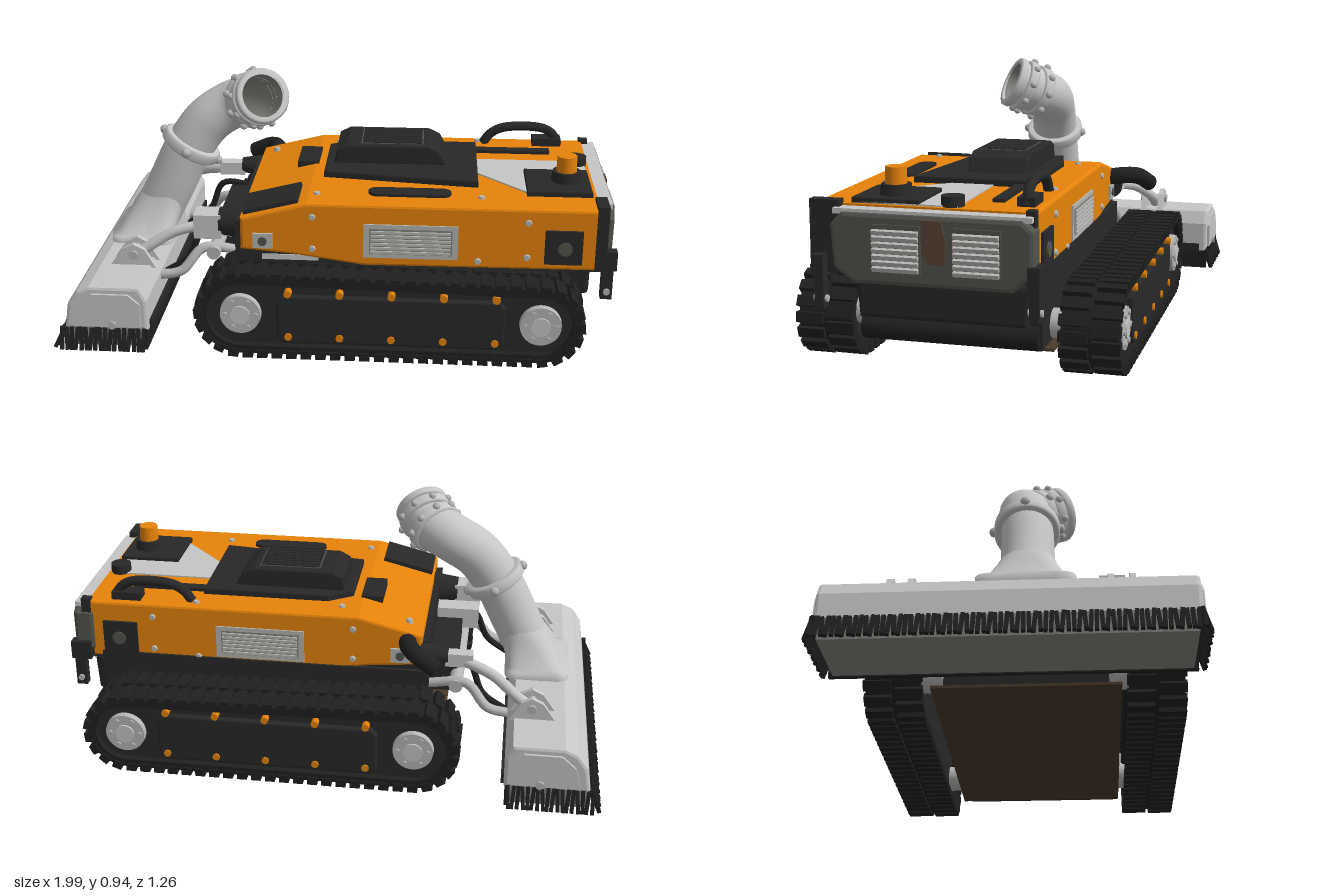
import * as THREE from 'three';

const mat = (name, color, side = THREE.FrontSide) => Object.assign(new THREE.MeshStandardMaterial({ color, side }), { name });
const V = (x, y, z) => new THREE.Vector3(x, y, z);

export function createModel() {
  const root = new THREE.Group();
  const orange = mat('orange paint', 0xe8840a);
  const black = mat('black plastic', 0x282828);
  const rubber = mat('rubber', 0x202020);
  const grey = mat('light grey paint', 0xc6c6c6, THREE.DoubleSide);
  const silver = mat('silver metal', 0xb6b6b4);
  const smoke = mat('smoked panel', 0x53534d);
  const brown = mat('brown trim', 0x5a4534);
  const belly = mat('underside brown', 0x4a3b2c);
  const midGrey = mat('mid grey', 0x83837e, THREE.DoubleSide);

  // ---- helpers ----
  const add = (name, geo, m, x = 0, y = 0, z = 0, rx = 0, ry = 0, rz = 0) => {
    const o = new THREE.Mesh(geo, m);
    o.name = name;
    o.position.set(x, y, z);
    o.rotation.set(rx, ry, rz);
    root.add(o);
    return o;
  };
  const box = (name, m, x0, x1, y0, y1, z0, z1, tilt = 0) =>
    add(name, new THREE.BoxGeometry(x1 - x0, y1 - y0, z1 - z0), m, (x0 + x1) / 2, (y0 + y1) / 2, (z0 + z1) / 2, 0, 0, tilt);
  const poly = pts => new THREE.Shape(pts.map(p => new THREE.Vector2(p[0], p[1])));
  const prism = (outline, depth, bevel = 0) => new THREE.ExtrudeGeometry(outline instanceof THREE.Shape ? outline : poly(outline), {
    depth: depth - 2 * bevel, bevelEnabled: bevel > 0, bevelSize: bevel, bevelOffset: -bevel, bevelThickness: bevel, bevelSegments: 2 }).translate(0, 0, bevel);
  // side: (x,y) outline over z; plate: (x,z) outline below yTop; rear: (z,y) outline inward from xMax
  const side = (name, m, pts, z0, z1, bevel) => add(name, prism(pts, z1 - z0, bevel), m, 0, 0, z0);
  const plate = (name, m, pts, yTop, h, bevel) => add(name, prism(pts, h, bevel), m, 0, yTop, 0, Math.PI / 2);
  const rear = (name, m, pts, xMax, d, bevel) => add(name, prism(pts, d, bevel), m, xMax, 0, 0, 0, -Math.PI / 2);
  const rod = (name, m, a, b, r, r2 = r, seg = 20) => {
    const o = add(name, new THREE.CylinderGeometry(r2, r, a.distanceTo(b), seg), m);
    o.position.copy(a).lerp(b, 0.5);
    o.quaternion.setFromUnitVectors(V(0, 1, 0), b.clone().sub(a).normalize());
  };
  const tube = (name, m, pts, r, n = 24, seg = 12) =>
    add(name, new THREE.TubeGeometry(new THREE.CatmullRomCurve3(pts.map(p => V(...p))), n, r, seg), m);

  // ---- tracks ----
  const wheels = [[-0.33, 0.165, 0.15, 0.5], [0.725, 0.155, 0.14, -0.5]];
  const loop = inset => poly(wheels.flatMap(([x, y, r, start]) => Array.from({ length: 17 }, (_, i) => {
    const a = Math.PI * (start + i / 16);
    return [x + (r - inset) * Math.cos(a), y + (r - inset) * Math.sin(a)];
  }))).closePath();
  const lug = new THREE.BoxGeometry(0.036, 0.03, 0.095);
  for (const [zc, out] of [[0.477, 1], [-0.422, -1]]) {
    const belt = loop(0), n = 116, path = belt.getSpacedPoints(n);
    belt.holes.push(loop(0.03));
    side('trackBelt', rubber, belt, zc - 0.095, zc + 0.095);
    for (let i = 0; i < n; i++) {
      const p = path[i], q = path[(i + 1) % n];
      add('trackLug', lug, rubber, p.x, p.y, zc + (i % 2 ? 0.054 : -0.054), 0, 0, Math.atan2(q.y - p.y, q.x - p.x));
    }
    side('trackFrame', black, loop(0.025), zc - 0.07, zc + 0.07);
    side('trackCover', black, [[-0.2, 0.08], [-0.18, 0.06], [0.58, 0.06], [0.6, 0.08], [0.6, 0.22], [0.58, 0.24], [-0.18, 0.24], [-0.2, 0.22]],
      zc + out * 0.075 - 0.018, zc + out * 0.075 + 0.018, 0.006);
    for (const [x, y] of wheels) {
      rod('hub', silver, V(x, y, zc), V(x, y, zc + out * 0.093), 0.08, 0.072, 32);
      rod('hubCap', grey, V(x, y, zc), V(x, y, zc + out * 0.1), 0.035);
      rod('axle', silver, V(x, y, zc - out * 0.16), V(x, y, zc), 0.05);
      for (let a = 0; a < 6; a += Math.PI / 3) {
        const bx = x + 0.055 * Math.cos(a), by = y + 0.055 * Math.sin(a);
        rod('hubBolt', silver, V(bx, by, zc), V(bx, by, zc + out * 0.1), 0.01, 0.01, 6);
      }
    }
    for (let x = -0.16; x < 0.6; x += 0.182) for (const y of [0.085, 0.252])
      rod('trackBolt', orange, V(x, y, zc), V(x, y, zc + out * 0.099), 0.014, 0.014, 8);
  }

  // ---- chassis and body ----
  box('chassis', black, -0.36, 0.87, 0.1, 0.36, -0.27, 0.345);
  box('bellyPlate', belly, -0.42, 0.84, 0.092, 0.102, -0.3, 0.36);
  side('fender', black, [[-0.34, 0.33], [0.91, 0.325], [0.91, 0.4], [-0.34, 0.42]], -0.255, 0.47);
  side('bodyShell', orange, [[-0.335, 0.38], [-0.15, 0.365], [0.1, 0.33], [0.915, 0.335], [0.915, 0.56], [-0.1, 0.56], [-0.335, 0.5]], -0.262, 0.485, 0.01);
  box('frontPanel', black, -0.36, -0.33, 0.2, 0.47, -0.24, 0.44);
  box('lowerStrip', grey, -0.26, -0.06, 0.34, 0.36, 0.44, 0.474);
  // grilles, plates and bolts on both flanks
  for (const [z, s] of [[0.485, 1], [-0.262, -1]]) {
    const flat = (name, m, x0, x1, y0, y1, t) => box(name, m, x0, x1, y0, y1, Math.min(z, z + s * t), Math.max(z, z + s * t));
    flat('sideGrille', silver, 0.1, 0.43, 0.365, 0.49, 0.006);
    flat('grilleRecess', midGrey, 0.12, 0.41, 0.38, 0.475, 0.008);
    for (let y = 0.384; y < 0.47; y += 0.015) flat('grilleSlat', silver, 0.125, 0.405, y, y + 0.009, 0.014);
    flat('sidePlate', black, 0.73, 0.86, 0.36, 0.485, 0.01);
    rod('sideSocket', smoke, V(0.8, 0.42, z), V(0.8, 0.42, z + s * 0.016), 0.025);
    flat('frontTag', silver, -0.29, -0.22, 0.39, 0.445, 0.009);
    rod('tagKnob', smoke, V(-0.255, 0.417, z), V(-0.255, 0.417, z + s * 0.014), 0.016);
    for (const [x, y] of [[-0.08, 0.51], [-0.08, 0.39], [0.67, 0.51], [0.67, 0.38], [0.5, 0.36]])
      rod('sideBolt', silver, V(x, y, z), V(x, y, z + s * 0.008), 0.013, 0.01, 8);
  }

  // ---- top deck ----
  plate('deckCover', black, [[-0.06, -0.08], [0.03, -0.14], [0.5, -0.14], [0.5, 0.29], [-0.06, 0.22]], 0.585, 0.03, 0.006);
  side('intakeBox', black, [[-0.03, 0.58], [0.39, 0.58], [0.36, 0.635], [0.32, 0.655], [0.02, 0.655], [-0.02, 0.635]], -0.09, 0.13, 0.008);
  box('intakeGrille', smoke, 0.07, 0.3, 0.65, 0.657, -0.06, 0.11);
  for (let z = -0.056; z < 0.1; z += 0.024) box('intakeSlat', black, 0.075, 0.295, 0.652, 0.661, z, z + 0.018);
  plate('greyPatch', grey, [[0.5, 0], [0.9, 0], [0.9, 0.34], [0.68, 0.34], [0.5, 0.15]], 0.565, 0.008);
  plate('beaconBase', black, [[0.67, 0.13], [0.9, 0.13], [0.9, 0.36], [0.67, 0.36]], 0.58, 0.025, 0.005);
  rod('beaconMount', black, V(0.815, 0.575, 0.237), V(0.815, 0.615, 0.237), 0.055, 0.05);
  rod('beacon', orange, V(0.815, 0.61, 0.237), V(0.815, 0.672, 0.237), 0.037, 0.035, 24);
  rod('fillerKnob', black, V(0.87, 0.56, 0.025), V(0.87, 0.595, 0.025), 0.038);
  box('frontVent', black, -0.17, -0.09, 0.54, 0.568, -0.09, 0.08);
  box('frontHatch', black, -0.33, -0.13, 0.524, 0.542, 0.29, 0.46, 0.25);
  box('deckStrip', black, 0.5, 0.78, 0.555, 0.572, -0.12, -0.08);
  tube('handle', black, [[0.53, 0.56, -0.205], [0.56, 0.6, -0.205], [0.61, 0.625, -0.205],
    [0.76, 0.625, -0.205], [0.8, 0.6, -0.205], [0.82, 0.56, -0.205]], 0.018);
  box('handleFoot', black, 0.72, 0.83, 0.555, 0.59, -0.235, -0.175);
  const slot = new THREE.Shape();
  slot.absarc(0.145, 0.365, 0.034, Math.PI / 2, Math.PI * 1.5);
  slot.absarc(0.37, 0.365, 0.034, -Math.PI / 2, Math.PI / 2);
  plate('gripPlate', black, slot, 0.57, 0.015);
  for (const [x, y, z] of [[-0.28, 0.52, -0.18], [-0.03, 0.56, -0.18], [-0.07, 0.56, 0.39], [0.51, 0.56, 0.39], [0.51, 0.56, -0.22]])
    rod('deckBolt', silver, V(x, y - 0.008, z), V(x, y + 0.008, z), 0.014, 0.011, 8);

  // ---- rear end ----
  rear('rearPanel', smoke, [[-0.27, 0.37], [-0.2, 0.31], [0.33, 0.31], [0.4, 0.36], [0.41, 0.5], [0.37, 0.545], [-0.23, 0.545], [-0.27, 0.51]], 0.975, 0.08, 0.015);
  rear('rearCenterTrim', brown, [[0.02, 0.39], [0.075, 0.39], [0.095, 0.43], [0.095, 0.53], [0.03, 0.53], [0.015, 0.46]], 0.981, 0.008);
  for (const [z0, z1] of [[0.1, 0.26], [-0.165, -0.01]]) {
    rear('rearLouverFrame', smoke, [[z0, 0.35], [z1, 0.35], [z1 + 0.01, 0.38], [z1 + 0.01, 0.48], [z1, 0.51], [z0, 0.51]], 0.981, 0.008);
    for (let y = 0.36; y < 0.49; y += 0.02) box('rearLouver', silver, 0.974, 0.992, y, y + 0.014, z0 + 0.005, z1, -0.3);
  }
  box('rearTopRail', grey, 0.912, 0.965, 0.535, 0.553, -0.26, 0.4);
  box('rearCorner', black, 0.905, 0.945, 0.335, 0.575, 0.385, 0.488);
  box('rearCornerSlim', black, 0.905, 0.94, 0.335, 0.57, -0.265, -0.235);
  rear('rearBumper', black, [[-0.23, 0.18], [0.34, 0.18], [0.35, 0.32], [-0.25, 0.32]], 0.91, 0.1, 0.015);
  rod('rearRoller', rubber, V(0.85, 0.14, -0.26), V(0.85, 0.14, 0.34), 0.045);
  for (const z of [0.45, -0.27]) {
    box('rearBracket', black, 0.935, 0.975, 0.22, 0.35, z - 0.016, z + 0.016);
    box('rearHinge', black, 0.91, 0.985, 0.33, 0.4, z - 0.02, z + 0.02);
    rod('hingePin', silver, V(0.955, 0.25, z - 0.024), V(0.955, 0.25, z + 0.024), 0.012, 0.012, 10);
  }

  // ---- cleaning head ----
  side('headHood', grey, [[-0.955, 0.105], [-0.655, 0.105], [-0.655, 0.22], [-0.68, 0.27], [-0.86, 0.27], [-0.905, 0.25], [-0.94, 0.2]], -0.6, 0.6, 0.012);
  for (const s of [-1, 1]) {
    side('headEndCap', grey, [[-0.92, 0.12], [-0.68, 0.12], [-0.68, 0.21], [-0.72, 0.245], [-0.85, 0.245], [-0.9, 0.2]], s * 0.602 - 0.008, s * 0.602 + 0.008);
    rod('headBolt', silver, V(-0.78, 0.13, s * 0.6), V(-0.78, 0.13, s * 0.62), 0.016, 0.016, 6);
  }
  box('brushPad', midGrey, -0.955, -0.675, 0.035, 0.11, -0.585, 0.585);
  box('rearSkirt', rubber, -0.676, -0.66, 0.03, 0.11, -0.6, 0.6);
  box('skirtRail', black, -0.66, -0.645, 0.1, 0.135, -0.57, 0.57);
  const tuft = new THREE.BoxGeometry(0.013, 0.085, 0.013);
  for (let i = 0; i <= 70; i++) {
    const w = 0.08 * Math.sin(i * 2.4);
    add('bristle', tuft, rubber, -0.974, 0.07, -0.6 + i * 1.2 / 70, w, 0, -0.4 + w * 0.6);
  }
  for (let i = 0; i <= 17; i++) for (const s of [-1, 1])
    add('bristle', tuft, rubber, -0.965 + i * 0.0172, 0.07, s * 0.606, -s * (0.3 + 0.1 * Math.sin(i * 2.4)), 0, 0.1 * Math.sin(i * 1.7));
  // flange blending from a round pipe down to a rounded rectangle: x, y, radii, roundness
  const rings = [[-0.685, 0.43, 0.092, 0.092, 1], [-0.71, 0.385, 0.098, 0.105, 0.8], [-0.745, 0.3, 0.105, 0.14, 0.4], [-0.755, 0.295, 0.12, 0.165, 0.3], [-0.755, 0.265, 0.12, 0.165, 0.3]];
  const flange = new THREE.CylinderGeometry(1, 1, 1, 32, 4, true), pos = flange.attributes.position;
  const soft = (v, e) => Math.sign(v) * Math.abs(v) ** e;
  for (let i = 0; i < pos.count; i++) {
    const [x, y, rx, rz, e] = rings[Math.floor(i / 33)];
    pos.setXYZ(i, x + rx * soft(pos.getX(i), e), y, 0.052 + rz * soft(pos.getZ(i), e));
  }
  flange.computeVertexNormals();
  add('pipeFlange', flange, grey);

  // ---- suction pipe with collars ----
  const route = [[-0.72, 0.34, 0.05], [-0.66, 0.46, 0.05], [-0.59, 0.6, 0.045], [-0.51, 0.71, 0.035], [-0.41, 0.775, 0.03], [-0.335, 0.805, 0.07], [-0.29, 0.842, 0.147]];
  tube('suctionPipe', grey, route, 0.091, 48, 32);
  tube('pipeLining', midGrey, route, 0.079, 48, 32);
  const collar = (name, c, dir, r, h, bolts, size) => {
    const w = h / 2, pts = [[0.08, -w], [r - 0.008, -w], [r, -w * 0.7], [r, w * 0.7], [r - 0.008, w], [0.08, w]];
    const ring = add(name, new THREE.LatheGeometry(pts.map(p => new THREE.Vector2(...p)), 36), grey, ...c);
    ring.quaternion.setFromUnitVectors(V(0, 1, 0), V(...dir).normalize());
    for (let i = 0; i < bolts; i++) {
      const a = i / bolts * Math.PI * 2, b = new THREE.Mesh(new THREE.SphereGeometry(size, 8, 6), silver);
      b.position.set(r * Math.cos(a), 0, r * Math.sin(a));
      ring.add(b);
    }
  };
  collar('pipeClamp', [-0.58, 0.612, 0.044], [0.5, 0.85, -0.04], 0.115, 0.045, 4, 0.018);
  collar('outletRim', [-0.292, 0.84, 0.142], [0.45, 0.42, 0.8], 0.102, 0.03, 0, 0);
  collar('outletCollar', [-0.312, 0.822, 0.106], [0.46, 0.41, 0.78], 0.106, 0.04, 9, 0.014);
  collar('elbowCollar', [-0.345, 0.8, 0.062], [0.55, 0.3, 0.6], 0.104, 0.045, 9, 0.015);

  // ---- linkage between body and head ----
  for (const [z, zh, w] of [[0.335, 0.36, 0.045], [-0.25, -0.36, 0.025]]) {
    box('armBlock', grey, -0.52, -0.42, 0.415 - w, 0.415 + w, z - w, z + w);
    rod('armJoint', black, V(-0.43, 0.425, z), V(-0.33, 0.425, z), w + 0.005, w + 0.02);
    tube('upperArm', grey, [[-0.48, 0.41, z], [-0.6, 0.38, (z + zh) / 2], [-0.7, 0.32, zh], [-0.77, 0.28, zh]], 0.02);
    tube('lowerArm', silver, [[-0.36, 0.28, z * 0.8], [-0.5, 0.3, z * 0.9], [-0.58, 0.22, z], [-0.67, 0.2, z]], 0.018);
    tube('armHose', rubber, [[-0.36, 0.36, z * 0.7], [-0.5, 0.37, z * 0.75], [-0.56, 0.25, z * 0.8], [-0.66, 0.18, z * 0.8]], 0.012);
    for (const d of [-0.035, 0.035])
      side('headBracket', grey, [[-0.83, 0.26], [-0.66, 0.26], [-0.7, 0.33], [-0.74, 0.35], [-0.78, 0.33]], zh + d - 0.01, zh + d + 0.01);
    rod('bracketPin', silver, V(-0.74, 0.31, zh - 0.055), V(-0.74, 0.31, zh + 0.055), 0.017, 0.017, 12);
  }
  rod('crossBar', silver, V(-0.46, 0.29, -0.24), V(-0.46, 0.29, 0.33), 0.025);
  box('centerMount', grey, -0.52, -0.35, 0.33, 0.41, 0.18, 0.26);
  box('centerBlock', black, -0.46, -0.34, 0.22, 0.38, -0.14, 0.16);
  tube('hoseElbow', rubber, [[-0.28, 0.47, -0.24], [-0.29, 0.48, -0.31], [-0.32, 0.475, -0.36], [-0.4, 0.435, -0.395]], 0.033);

  return root;
}
